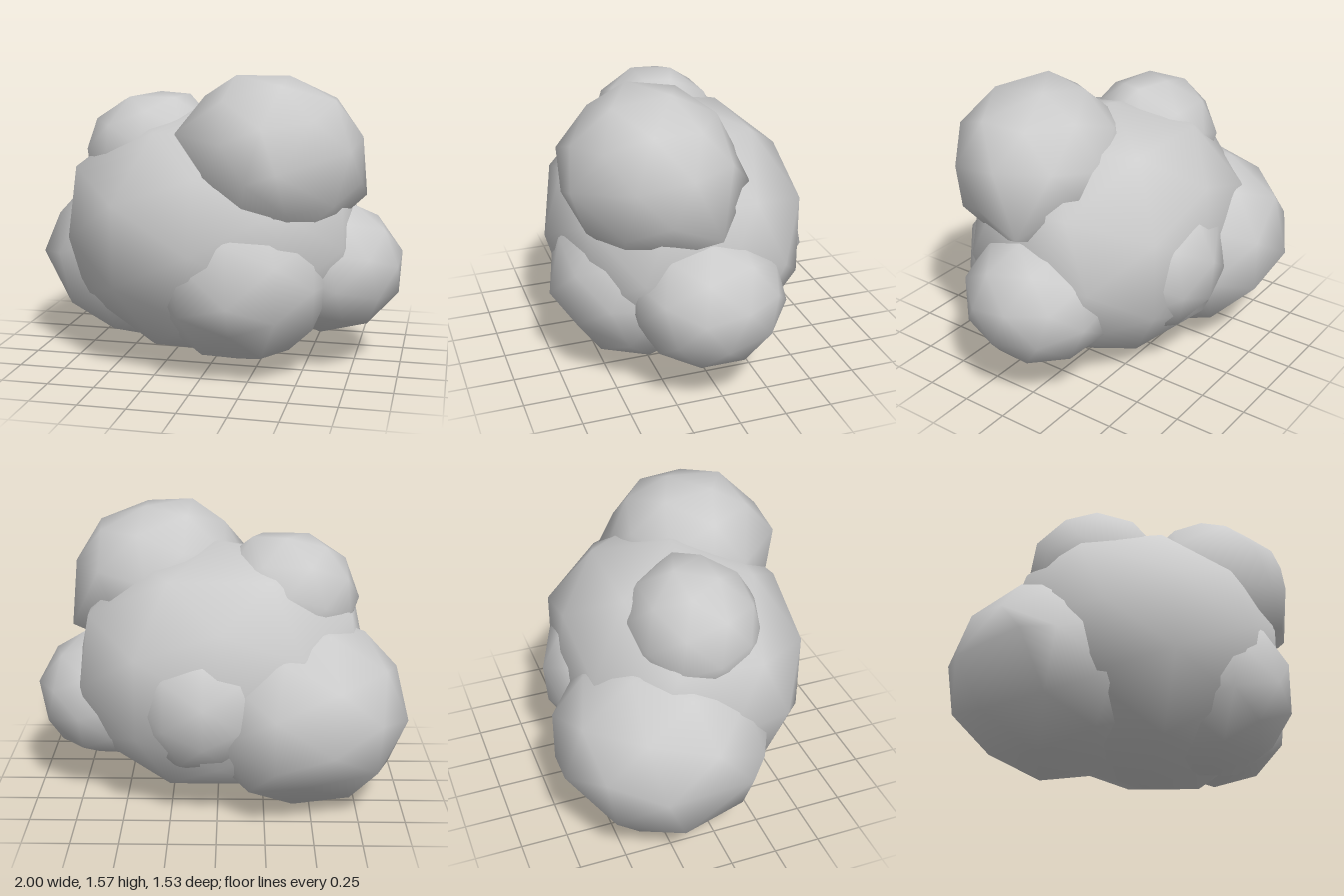
import * as THREE from 'three';
import { mergeVertices } from 'three/addons/utils/BufferGeometryUtils.js';

const material = new THREE.MeshStandardMaterial({ color: 0xcccccc });

// One low-poly, smooth-shaded puff: a subdivided icosahedron, turned, stretched to an
// ellipsoid, with the vertex nearest each pull point moved onto it for an uneven outline
function puff({ name, at, radii, turn = [0, 0, 0], pulls = [] }) {
  const base = new THREE.IcosahedronGeometry(1, 1);
  base.deleteAttribute('uv');
  base.deleteAttribute('normal');
  const geometry = mergeVertices(base);
  geometry.rotateX(turn[0]).rotateZ(turn[2]).rotateY(turn[1]);
  geometry.scale(...radii);

  const position = geometry.attributes.position;
  const vertex = new THREE.Vector3();
  const used = new Set();
  for (const [x, y, z] of pulls) {
    const target = new THREE.Vector3(x - at[0], y - at[1], z - at[2]);
    let nearest = -1;
    let best = Infinity;
    for (let i = 0; i < position.count; i++) {
      const distance = vertex.fromBufferAttribute(position, i).distanceTo(target);
      if (distance < best && !used.has(i)) {
        best = distance;
        nearest = i;
      }
    }
    used.add(nearest);
    position.setXYZ(nearest, target.x, target.y, target.z);
  }
  geometry.computeVertexNormals();

  const mesh = new THREE.Mesh(geometry, material);
  mesh.name = name;
  mesh.position.set(...at);
  return mesh;
}

const PUFFS = [
  {
    name: 'core', at: [-0.01, 0.705, 0.03], radii: [0.86, 0.7, 0.71],
    pulls: [[-0.82, 0.71, 0.05], [0.77, 0.71, 0], [-0.75, 1.06, 0.24], [0, 0.71, -0.61]],
  },
  {
    name: 'topFrontPuff', at: [0.32, 1.14, 0.25], radii: [0.49, 0.45, 0.46], turn: [0, 0.5, -0.28],
    pulls: [
      [0.15, 1.57, 0.32], [0.4, 1.56, 0.16], [-0.16, 1.27, 0.39], [0.8, 0.93, 0.03],
      [0.57, 1.13, -0.19], [0.14, 1.26, 0.69], [0.42, 1.12, 0.69],
    ],
  },
  {
    name: 'topPuff', at: [-0.36, 1.1, 0.01], radii: [0.4, 0.36, 0.36], turn: [-0.28, 0, 0],
    pulls: [[-0.18, 1.44, -0.03]],
  },
  { name: 'leftPuff', at: [0.6, 0.54, 0.04], radii: [0.41, 0.36, 0.41], turn: [0.15, 0.2, 0.22] },
  {
    name: 'backRightPuff', at: [-0.45, 0.53, -0.19], radii: [0.58, 0.52, 0.59], turn: [0.28, -0.28, 0],
    pulls: [[-0.45, 0.25, -0.6], [-1, 0.55, 0.1]],
  },
  {
    name: 'frontPuff', at: [0.17, 0.52, 0.3], radii: [0.5, 0.46, 0.47],
    pulls: [[0.19, 0.46, 0.77], [0.18, 0.28, 0.64]],
  },
  { name: 'backPuff', at: [0.07, 0.63, -0.28], radii: [0.41, 0.41, 0.41], turn: [0.2, 0, 0] },
];

export function createModel() {
  const model = new THREE.Group();
  model.name = 'puffCluster';
  for (const spec of PUFFS) model.add(puff(spec));
  return model;
}
